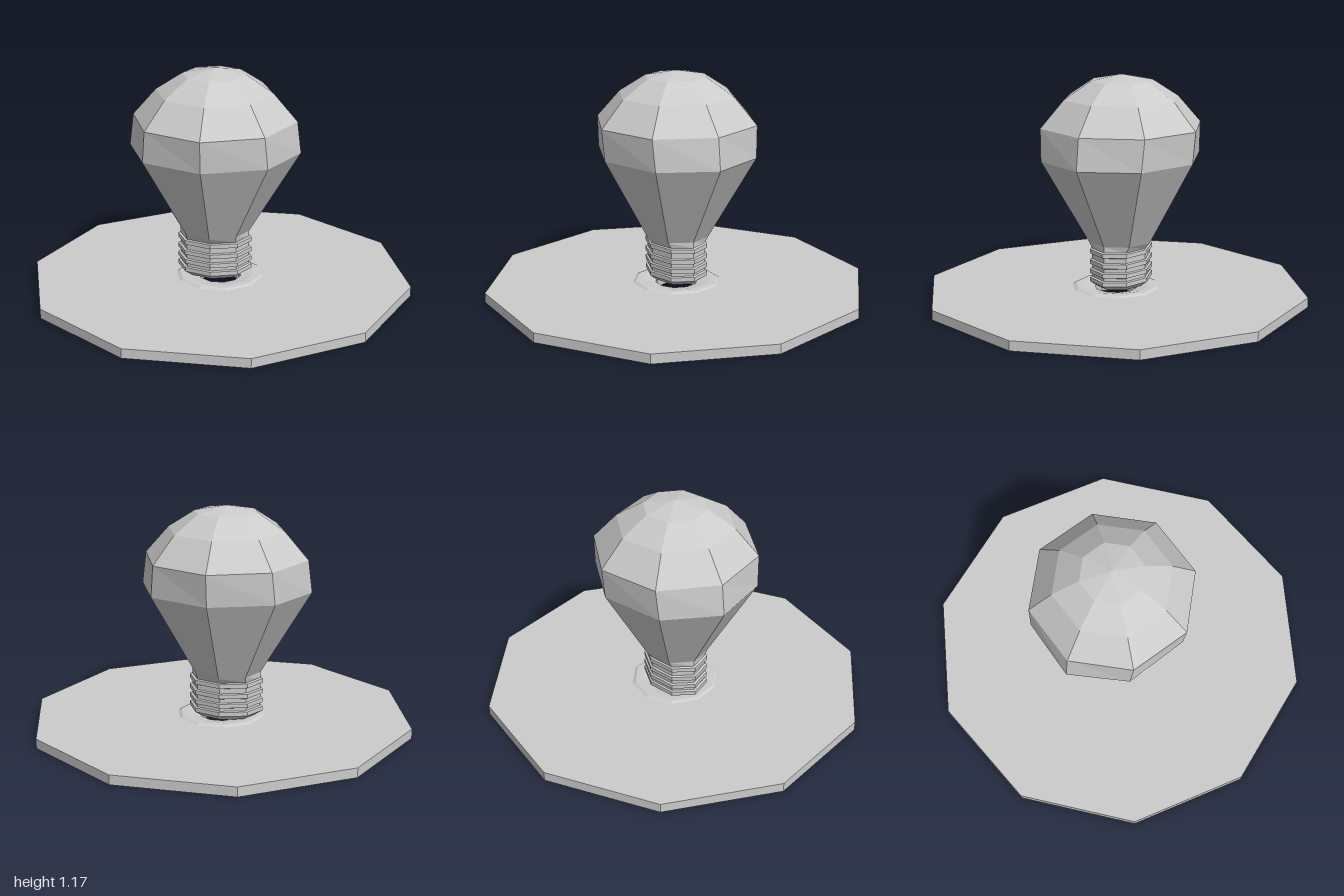
import * as THREE from 'three';

const material = new THREE.MeshStandardMaterial({ color: 0xcccccc, flatShading: true });

// Faceted turned part from [radius, height] pairs, listed bottom to top on the outside
function turned(name, profile, sides, startAngle = 0, depthScale = null) {
  const points = profile.map(([r, y]) => new THREE.Vector2(r, y));
  const geometry = new THREE.LatheGeometry(points, sides, startAngle);
  if (depthScale) {
    const p = geometry.attributes.position;
    for (let i = 0; i < p.count; i++) p.setZ(i, p.getZ(i) * depthScale(p.getY(i)));
  }
  geometry.computeVertexNormals();
  const mesh = new THREE.Mesh(geometry, material);
  mesh.name = name;
  return mesh;
}

// The neck is oval and the bulb becomes round towards the dome
function ovalDepth(y) {
  if (y <= 0.3) return 0.78;
  if (y < 0.8) return 0.92;
  return 1;
}

export function createModel() {
  const model = new THREE.Group();
  model.name = 'bulbOnPlate';

  // Ten-sided plate with a low collar around a central hole
  model.add(turned('basePlate', [
    [0.11, 0], [1, 0], [1, 0.05], [0.23, 0.054], [0.215, 0.063],
    [0.18, 0.063], [0.11, 0.05], [0.11, 0],
  ], 10, Math.PI / 2));

  const bulb = new THREE.Group();
  bulb.name = 'bulb';
  bulb.position.set(-0.03, 0, -0.015);

  // Screw base: tapered foot and four thread ridges
  const screw = [[0, 0.064], [0.15, 0.064], [0.192, 0.092]];
  for (const y of [0.092, 0.137, 0.187, 0.243]) {
    screw.push([0.182, y - 0.004], [0.195, y], [0.195, y + 0.022], [0.182, y + 0.026]);
  }
  screw.splice(2, 2);
  screw.push([0.182, 0.3]);
  bulb.add(turned('screwBase', screw, 8, 0, ovalDepth));

  // Glass: flared neck, band and dome
  bulb.add(turned('glass', [
    [0.182, 0.3], [0.445, 0.74], [0.425, 0.905], [0.303, 1.045], [0.165, 1.135], [0, 1.168],
  ], 8, 0, ovalDepth));

  model.add(bulb);
  return model;
}
